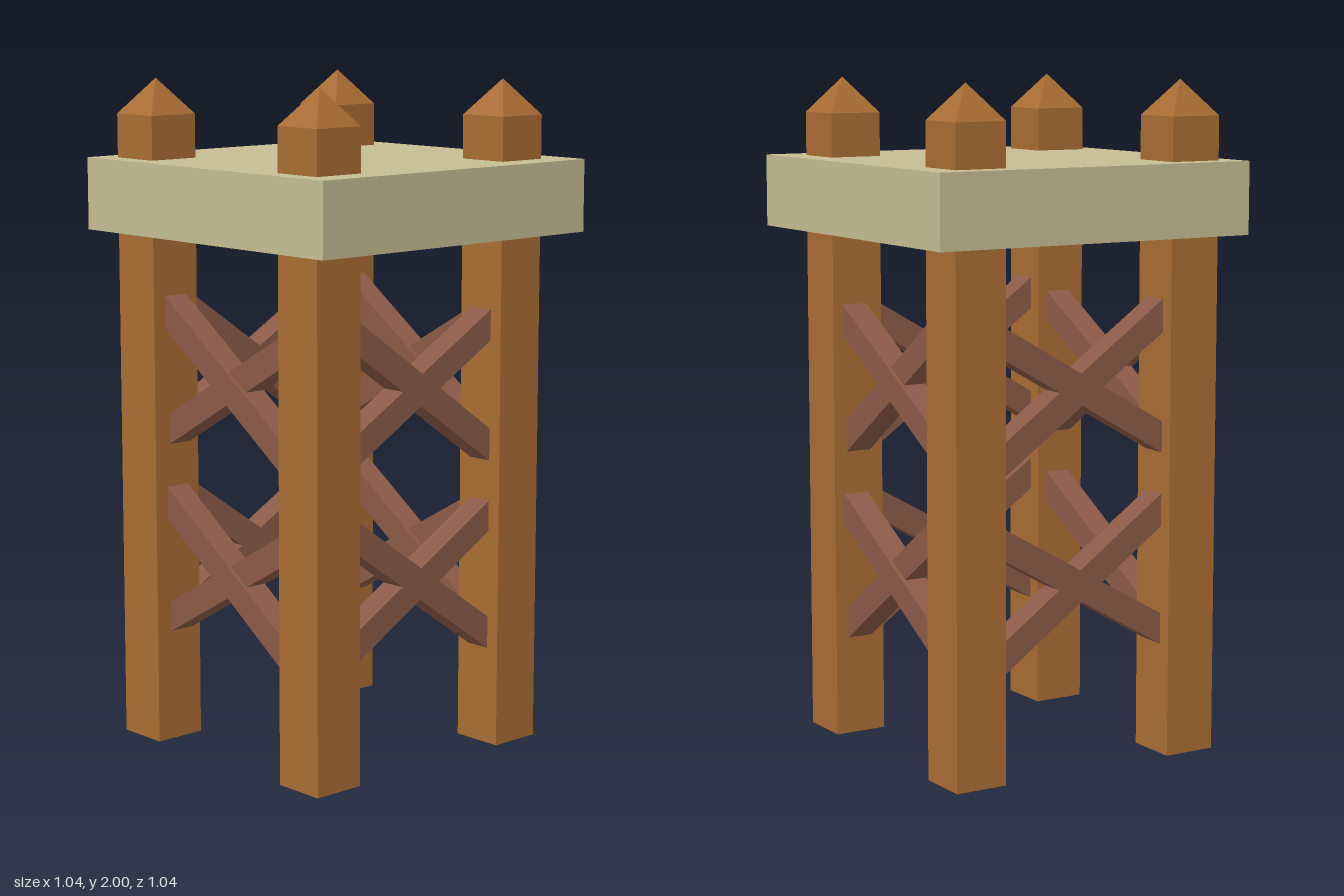
import * as THREE from 'three';

const paint = (name, color) => {
  const m = new THREE.MeshStandardMaterial({ color, flatShading: true });
  m.name = name;
  return m;
};

export function createModel() {
  const tower = new THREE.Group();
  tower.name = 'woodenTower';

  const postWood = paint('post wood', 0xa86c33);
  const braceWood = paint('brace wood', 0x8b5a48);
  const deckWood = paint('pale deck', 0xc4bc92);

  const add = (parent, name, geometry, material, x, y, z) => {
    const mesh = new THREE.Mesh(geometry, material);
    mesh.name = name;
    mesh.position.set(x, y, z);
    parent.add(mesh);
    return mesh;
  };

  const WIDTH = 0.163, SHAFT = 1.895, TIP = 0.105;
  const LEFT = 0.35, RIGHT = -0.377, FRONT = 0.347, BACK = -0.371;

  // Four corner posts with pyramid tips
  const shaft = new THREE.BoxGeometry(WIDTH, SHAFT, WIDTH);
  const tip = new THREE.ConeGeometry(WIDTH / Math.SQRT2, TIP, 4).rotateY(Math.PI / 4);
  for (const x of [RIGHT, LEFT]) {
    for (const z of [BACK, FRONT]) {
      const post = new THREE.Group();
      post.name = 'post';
      post.position.set(x, 0, z);
      add(post, 'postShaft', shaft, postWood, 0, SHAFT / 2, 0);
      add(post, 'postTip', tip, postWood, 0, SHAFT + TIP / 2, 0);
      tower.add(post);
    }
  }

  // Deck through which the posts rise
  add(tower, 'deck', new THREE.BoxGeometry(1.04, 0.215, 1.04), deckWood, 0, 1.6575, 0);

  // Each side carries two crossed pairs of braces, set into the posts
  const crossBraces = (name, x, z, turn, gap, offset) => {
    const side = new THREE.Group();
    side.name = name;
    side.position.set(x, 0, z);
    side.rotation.y = turn;
    for (const y of [0.543, 1.12]) {
      for (const [angle, shift] of [[-0.61, 0], [0.52, offset]]) {
        const length = (gap + 0.1) / Math.cos(angle);
        const brace = new THREE.BoxGeometry(length, 0.08, 0.08);
        add(side, 'brace', brace, braceWood, 0, y, shift).rotation.z = angle;
      }
    }
    tower.add(side);
  };
  const midX = (LEFT + RIGHT) / 2, midZ = (FRONT + BACK) / 2;
  crossBraces('frontBraces', midX, FRONT, 0, LEFT - RIGHT - WIDTH, 0);
  crossBraces('backBraces', midX, BACK, 0, LEFT - RIGHT - WIDTH, 0);
  crossBraces('leftBraces', LEFT, midZ, -Math.PI / 2, FRONT - BACK - WIDTH, -0.01);
  crossBraces('rightBraces', RIGHT, midZ, -Math.PI / 2, FRONT - BACK - WIDTH, -0.01);

  return tower;
}
